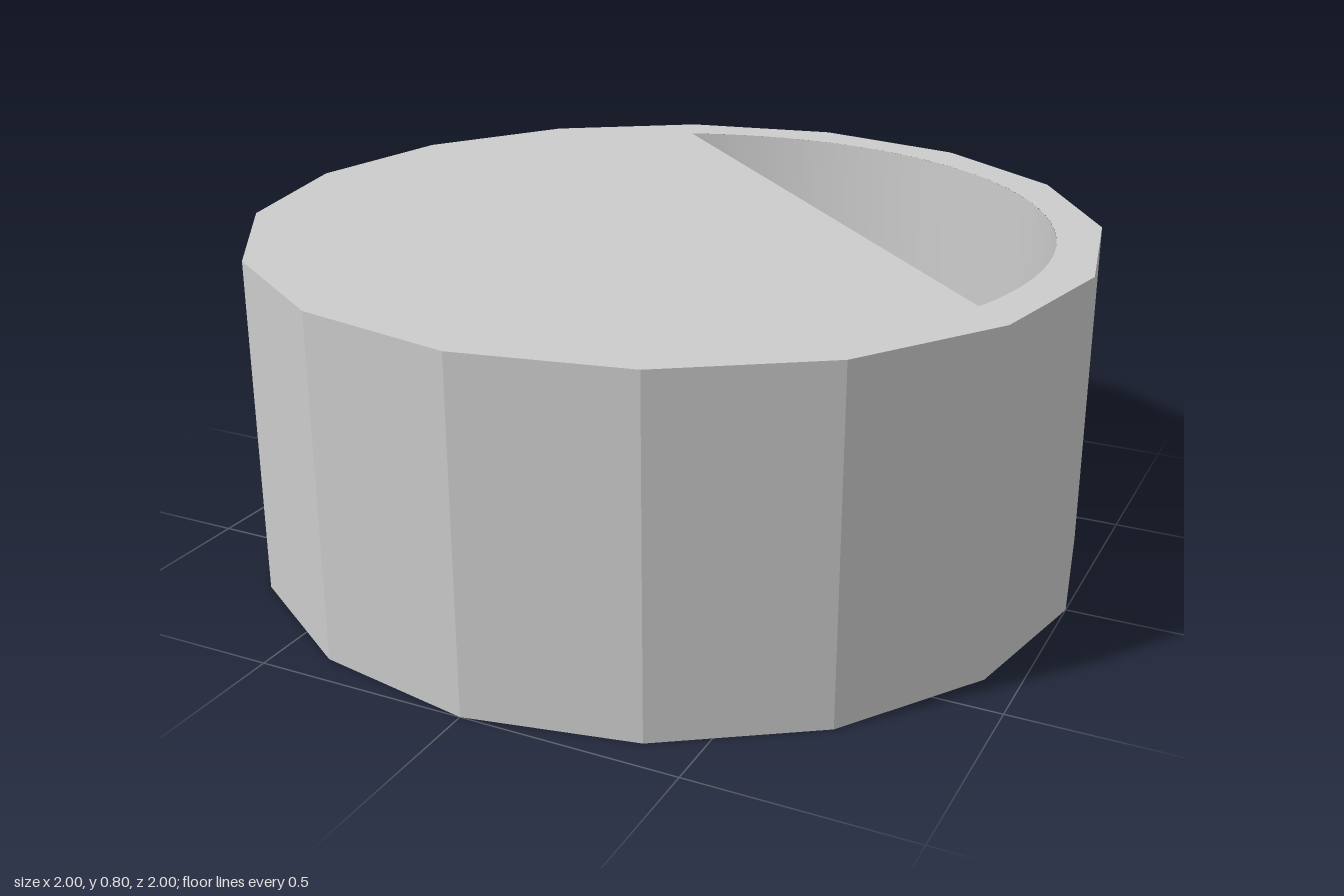
import * as THREE from 'three';

const HEIGHT = 0.8, OUTER = 1, INNER = 0.887, SIDES = 16;
const rad = THREE.MathUtils.degToRad;

// Sixteen-sided sheet with a circle-segment opening between two angles
function coverGeometry(startDeg, endDeg) {
  const shape = new THREE.Shape();
  for (let i = 0; i < SIDES; i++) {
    const a = (i / SIDES) * Math.PI * 2;
    const x = OUTER * Math.cos(a), y = OUTER * Math.sin(a);
    if (i === 0) shape.moveTo(x, y); else shape.lineTo(x, y);
  }
  shape.closePath();
  const opening = new THREE.Path();
  opening.absarc(0, 0, INNER, rad(startDeg), rad(endDeg), false);
  opening.closePath();
  shape.holes.push(opening);
  return new THREE.ShapeGeometry(shape, 48);
}

export function createModel() {
  const group = new THREE.Group();
  group.name = 'hollowDrum';

  const add = (name, geometry, options = {}) => {
    const material = new THREE.MeshStandardMaterial({ color: 0xcccccc, ...options });
    const mesh = new THREE.Mesh(geometry, material);
    mesh.name = name;
    group.add(mesh);
    return mesh;
  };

  // Faceted outside and smooth round inside of the ring
  const tube = (radius, segments) =>
    new THREE.CylinderGeometry(radius, radius, HEIGHT, segments, 1, true).translate(0, HEIGHT / 2, 0);
  add('outerWall', tube(OUTER, SIDES), { flatShading: true });
  add('innerWall', tube(INNER, 96), { side: THREE.BackSide });

  // Thin covers, the lower opening turned slightly from the upper one
  const thin = { side: THREE.DoubleSide };
  add('topCover', coverGeometry(-19.6, 112.6).rotateX(-Math.PI / 2).translate(0, HEIGHT, 0), thin);
  add('bottomCover', coverGeometry(-109.4, 22.8).rotateX(Math.PI / 2), thin);

  return group;
}
